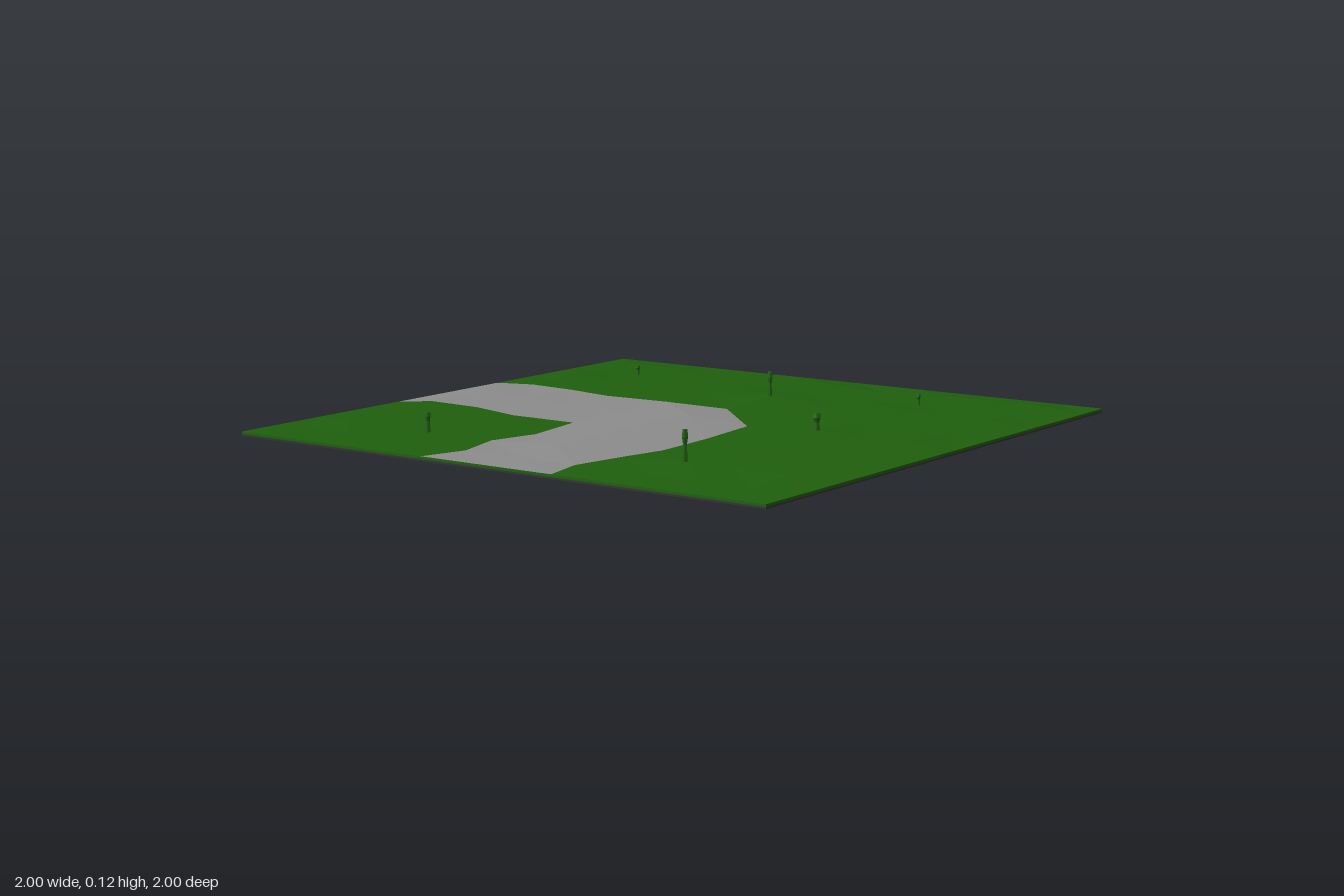
import * as THREE from 'three';

const GREEN = 0x1f5f0e, ROAD = 0x8c8c8c, DARK = 0x333333;
const mat = (color, extra = {}) => new THREE.MeshStandardMaterial({ color, flatShading: true, ...extra });

// Irregular grid lines shared by x and z
const LINES = [-1, -0.85, -0.67, -0.5, -0.26, 0.01, 0.26, 0.5, 0.67, 0.85, 1];
// Highest ground along each column (x) and row (z)
const COL_TOP = [0.0145, 0.017, 0.029, 0.03, 0.034, 0.033, 0.02, 0.033, 0.022, 0.028, 0.0145];
const ROW_TOP = [0.0145, 0.03, 0.025, 0.016, 0.016, 0.033, 0.016, 0.03, 0.027, 0.028, 0.0145];
// Wavering road borders
const BACK_ROAD_LEFT = [-0.26, -0.26, -0.245, -0.26, -0.26];
const BACK_ROAD_RIGHT = [0.26, 0.275, 0.26, 0.245, 0.26, 0.235];
const SIDE_ROAD_BACK = [-0.25, -0.2, -0.25, -0.21, -0.25];
const SIDE_ROAD_FRONT = [0.25, 0.22, 0.25, 0.285, 0.275, 0.245];

function gridPoint(i, j) {
  let x = LINES[i], z = LINES[j];
  if (i === 4 && j <= 4) x = BACK_ROAD_LEFT[j];
  if (i === 6 && j <= 5) x = BACK_ROAD_RIGHT[j];
  if (j === 4 && i <= 4) z = SIDE_ROAD_BACK[i];
  if (j === 6 && i <= 5) z = SIDE_ROAD_FRONT[i];
  return [x, Math.min(COL_TOP[i], ROW_TOP[j]), z];
}

// Road: runs from the back edge and bends to the side edge, with a cut corner
function isRoad(i, j, half) {
  if (i === 5 && j === 5) return half === 0;
  return ((i === 4 || i === 5) && j <= 5) || (i <= 3 && (j === 4 || j === 5));
}

function surface(name, color, wantRoad) {
  const pos = [];
  for (let i = 0; i < 10; i++) {
    for (let j = 0; j < 10; j++) {
      const a = gridPoint(i, j), b = gridPoint(i + 1, j);
      const c = gridPoint(i, j + 1), d = gridPoint(i + 1, j + 1);
      [[a, c, b], [b, c, d]].forEach((tri, half) => {
        if (isRoad(i, j, half) === wantRoad) pos.push(...tri.flat());
      });
    }
  }
  const geo = new THREE.BufferGeometry();
  geo.setAttribute('position', new THREE.Float32BufferAttribute(pos, 3));
  geo.computeVertexNormals();
  const mesh = new THREE.Mesh(geo, mat(color));
  mesh.name = name;
  return mesh;
}

function slab(name, y0, y1, color) {
  const mesh = new THREE.Mesh(new THREE.BoxGeometry(2, y1 - y0, 2), mat(color));
  mesh.position.y = (y0 + y1) / 2;
  mesh.name = name;
  return mesh;
}

// Small low-poly stalk with a narrow waist
function stalk(x, z, top, r) {
  const y0 = 0.012, h = top - y0;
  const profile = [[0.9, 0], [0.75, 0.35], [0.65, 0.6], [1, 0.8], [0.8, 1], [0, 1]]
    .map(([k, t]) => new THREE.Vector2(k * r, t * h));
  const mesh = new THREE.Mesh(
    new THREE.LatheGeometry(profile, 6), mat(GREEN, { side: THREE.DoubleSide }));
  mesh.position.set(x, y0, z);
  mesh.name = 'plantStalk';
  return mesh;
}

export function createModel() {
  const model = new THREE.Group();
  model.name = 'roadBendTile';
  model.add(
    slab('foundation', 0, 0.006, DARK),
    slab('soilLayer', 0.006, 0.014, GREEN),
    surface('grass', GREEN, false),
    surface('road', ROAD, true));

  // Scattered plants: x, z, top height, radius
  const plants = new THREE.Group();
  plants.name = 'plants';
  [
    [-0.67, 0.49, 0.125, 0.01],
    [-0.67, -0.51, 0.08, 0.01],
    [0.01, 0.51, 0.085, 0.014],
    [0.49, 0.01, 0.115, 0.009],
    [0.665, 0.49, 0.06, 0.008],
    [0.665, -0.68, 0.057, 0.008],
  ].forEach((p) => plants.add(stalk(...p)));
  model.add(plants);
  return model;
}
